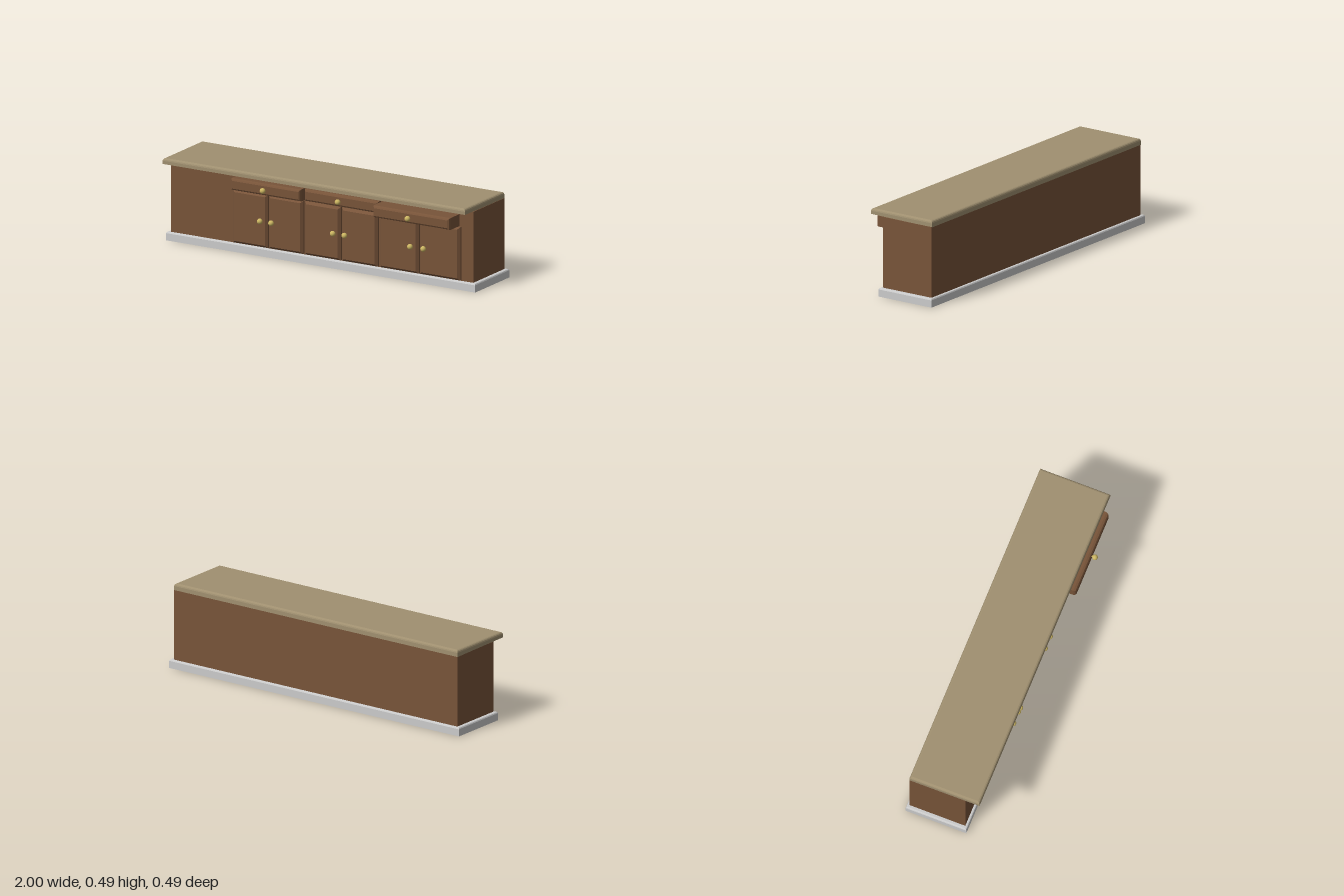
import * as THREE from 'three';

const material = (color, flatShading = true) => new THREE.MeshStandardMaterial({ color, flatShading });

// Block built from stacked rectangles along +z; each layer is [z, inset].
function bevelBlock(width, height, layers) {
  const corners = [[-1, -1], [1, -1], [1, 1], [-1, 1]];
  const positions = [];
  const index = [];
  for (const [z, inset] of layers) {
    for (const [sx, sy] of corners) positions.push(sx * (width / 2 - inset), sy * (height / 2 - inset), z);
  }
  for (let l = 0; l < layers.length - 1; l++) {
    for (let i = 0; i < 4; i++) {
      const a = l * 4 + i, b = l * 4 + (i + 1) % 4;
      index.push(a, b, b + 4, a, b + 4, a + 4);
    }
  }
  const t = (layers.length - 1) * 4;
  index.push(0, 2, 1, 0, 3, 2, t, t + 1, t + 2, t, t + 2, t + 3);
  const geometry = new THREE.BufferGeometry();
  geometry.setAttribute('position', new THREE.Float32BufferAttribute(positions, 3));
  geometry.setIndex(index);
  const flat = geometry.toNonIndexed();
  flat.computeVertexNormals();
  return flat;
}

// Knob profile turned around the z axis: thin stem, then a ball.
function knobGeometry() {
  const points = [[0.006, 0], [0.006, 0.006]];
  for (let i = 1; i <= 8; i++) {
    const a = 0.35 + (Math.PI - 0.35) * (i - 1) / 7;
    points.push([Math.max(0, 0.0165 * Math.sin(a)), 0.0205 - 0.0155 * Math.cos(a)]);
  }
  return new THREE.LatheGeometry(points.map(p => new THREE.Vector2(...p)), 12).rotateX(Math.PI / 2);
}

export function createModel() {
  const group = new THREE.Group();
  const wood = material(0x785439);
  const stone = material(0xa09070);
  const brass = material(0xcdb763, false);
  const grey = material(0xcccccc);

  const add = (name, geometry, mat, x, y, z) => {
    const mesh = new THREE.Mesh(geometry, mat);
    mesh.name = name;
    mesh.position.set(x, y, z);
    group.add(mesh);
    return mesh;
  };

  // Plinth with a small bevel around its top
  const plinth = bevelBlock(2, 0.36, [[0, 0], [0.041, 0], [0.047, 0.003], [0.049, 0.008]]);
  add('plinth', plinth.rotateX(-Math.PI / 2), grey, 0, 0, -0.065);

  // Cabinet body
  add('cabinetBody', new THREE.BoxGeometry(1.956, 0.407, 0.33), wood, 0, 0.2515, -0.065);

  // Countertop with rounded upper edges and a slightly rising underside
  const top = bevelBlock(1.956, 0.416, [[0, 0], [0.023, 0], [0.03, 0.002], [0.035, 0.006], [0.0375, 0.013]]);
  top.rotateX(-Math.PI / 2);
  const p = top.attributes.position;
  for (let i = 0; i < p.count; i++) {
    if (p.getY(i) < 0.001 && p.getZ(i) > 0) p.setY(i, 0.005);
  }
  top.computeVertexNormals();
  add('countertop', top, stone, -0.002, 0.453, -0.023);

  // Doors: [left edge, right edge, knob x]
  const doors = [
    [-0.565, -0.34, -0.375], [-0.332, -0.112, -0.302],
    [-0.1, 0.13, 0.097], [0.14, 0.37, 0.172],
    [0.386, 0.635, 0.597], [0.645, 0.903, 0.682],
  ];
  const knob = knobGeometry();
  for (const [x0, x1, knobX] of doors) {
    const door = bevelBlock(x1 - x0, 0.305, [[-0.005, 0.005], [0.003, 0], [0.014, 0], [0.028, 0.013]]);
    add('door', door, wood, (x0 + x1) / 2, 0.207, 0.1);
    add('doorKnob', knob, brass, knobX, 0.21, 0.126);
  }

  // Drawers pulled out by different amounts: [left, right, knob x, front z]
  const drawers = [
    [-0.56, -0.11, -0.34, 0.155],
    [-0.1, 0.38, 0.13, 0.13],
    [0.394, 0.89, 0.632, 0.212],
  ];
  for (const [x0, x1, knobX, front] of drawers) {
    const drawer = bevelBlock(x1 - x0, 0.068, [
      [0, 0], [front - 0.016 - 0.08, 0], [front - 0.005 - 0.08, 0.004], [front - 0.08, 0.012],
    ]);
    add('drawer', drawer, wood, (x0 + x1) / 2, 0.396, 0.08);
    add('drawerKnob', knob, brass, knobX, 0.396, front - 0.002);
  }
  return group;
}
